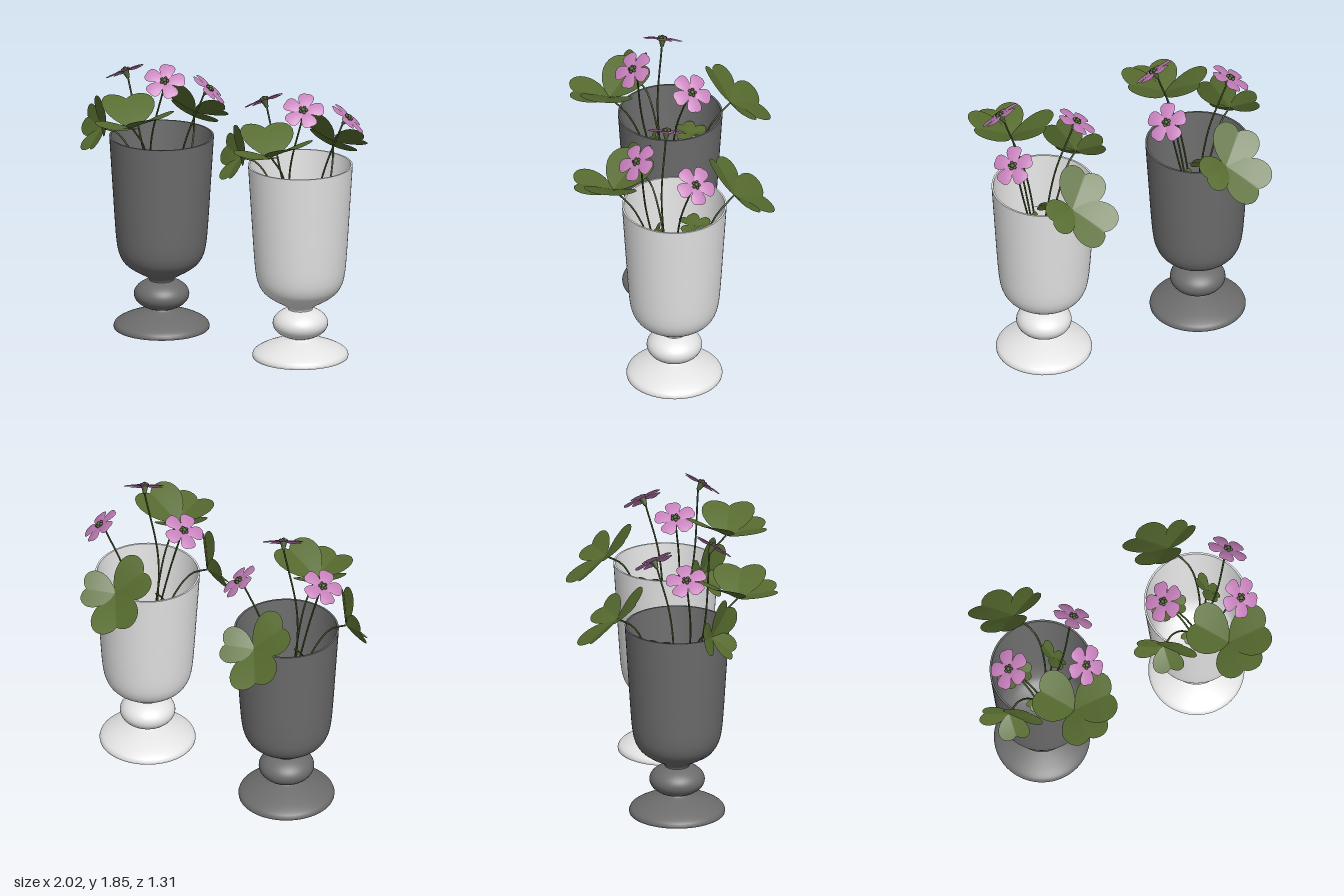
import * as THREE from 'three';

const V = (a) => new THREE.Vector3(...a);
const mat = (name, color, side = THREE.FrontSide) => {
  const m = new THREE.MeshStandardMaterial({ color, side });
  m.name = name;
  return m;
};
const darkVase = mat('dark grey', 0x6c6c6c);
const lightVase = mat('off white', 0xe4e4e4);
const leafGreen = mat('leaf green', 0x566b2f, THREE.DoubleSide);
const stemGreen = mat('stem green', 0x43562a);
const petalPink = mat('petal pink', 0xc57fba, THREE.DoubleSide);

function mesh(name, geometry, material, parent) {
  const m = new THREE.Mesh(geometry, material);
  m.name = name;
  parent.add(m);
  return m;
}

// Thin blade growing along +y from the origin. Half outline = [degrees, radius], mirrored.
function bladeGeometry(half, height, rings = 6) {
  const curve = new THREE.SplineCurve(half.map(([d, r]) => new THREE.Vector2(d, r)));
  const right = curve.getPoints(14);
  const edge = [...right.slice(1).reverse().map((p) => [-p.x, p.y]), ...right.map((p) => [p.x, p.y])];
  const pos = [];
  const index = [];
  const n = edge.length;
  for (let i = 0; i <= rings; i++) {
    for (const [deg, r] of edge) {
      const a = THREE.MathUtils.degToRad(deg);
      const x = Math.sin(a) * r * (i / rings);
      const y = Math.cos(a) * r * (i / rings);
      pos.push(x, y, height(x, y));
    }
  }
  for (let i = 0; i < rings; i++) {
    for (let j = 0; j < n - 1; j++) {
      const a = i * n + j, b = a + n;
      if (i > 0) index.push(a, a + 1, b + 1);
      index.push(a, b + 1, b);
    }
  }
  const g = new THREE.BufferGeometry();
  g.setAttribute('position', new THREE.Float32BufferAttribute(pos, 3));
  g.setIndex(index);
  g.computeVertexNormals();
  return g;
}

// Heart-shaped leaflet, gently folded along its midrib
const leafletGeo = bladeGeometry(
  [[0, 0.84], [7, 0.93], [20, 1.0], [33, 0.94], [45, 0.76], [57, 0.47], [70, 0.12]],
  (x, y) => 0.16 * Math.abs(x) - 0.1 * y * y + 0.06 * y
);
// Rounded petal, dished upwards then curling back at the tip
const petalGeo = bladeGeometry(
  [[0, 0.98], [10, 1.0], [20, 0.95], [27, 0.83], [33, 0.6], [38, 0.3]],
  (x, y) => 0.28 * y - 0.26 * y * y - 0.3 * x * x
);

// Blade whose +y follows dir and whose +z leans to the normal hint
function orient(obj, dir, hint) {
  const y = dir.clone().normalize();
  const z = hint.clone().addScaledVector(y, -hint.dot(y)).normalize();
  const x = new THREE.Vector3().crossVectors(y, z);
  obj.quaternion.setFromRotationMatrix(new THREE.Matrix4().makeBasis(x, y, z));
}

function stem(points, radius, parent) {
  const curve = new THREE.CatmullRomCurve3(points.map(V));
  mesh('stem', new THREE.TubeGeometry(curve, 24, radius, 7), stemGreen, parent);
}

// Three leaflets, given as offsets from the joint to each tip
function clover(name, centre, tips, hint, stemPoints, parent) {
  const g = new THREE.Group();
  g.name = name;
  parent.add(g);
  for (const tip of tips) {
    const dir = V(tip);
    const leaf = mesh('leaflet', leafletGeo, leafGreen, g);
    leaf.position.set(...centre);
    leaf.scale.setScalar(dir.length() / 0.93);
    orient(leaf, dir, V(hint));
  }
  stem([...stemPoints, centre], 0.006, g);
}

function flower(centre, normal, spin, stemPoints, parent) {
  const g = new THREE.Group();
  g.name = 'flower';
  g.position.set(...centre);
  const n = V(normal).normalize();
  g.quaternion.setFromUnitVectors(new THREE.Vector3(0, 0, 1), n);
  parent.add(g);
  for (let i = 0; i < 5; i++) {
    const a = spin + (i * Math.PI * 2) / 5;
    const petal = mesh('petal', petalGeo, petalPink, g);
    petal.scale.setScalar(0.135);
    petal.rotation.z = a;
    // Ring of small stamens
    const bud = mesh('stamen', new THREE.SphereGeometry(0.011, 10, 8), stemGreen, g);
    bud.position.set(0.02 * Math.sin(a), 0.02 * Math.cos(a), 0.014);
  }
  mesh('pistil', new THREE.SphereGeometry(0.016, 12, 8), stemGreen, g).position.z = 0.016;
  // Green cup beneath the petals
  const calyx = mesh('calyx', new THREE.CylinderGeometry(0.024, 0.01, 0.05, 12), stemGreen, g);
  calyx.rotation.x = Math.PI / 2;
  calyx.position.z = -0.022;
  const foot = V(centre).addScaledVector(n, -0.045);
  stem([...stemPoints, foot.toArray()], 0.006, parent);
}

function lathe(name, points, material, parent, steps = 0) {
  let pts = points.map(([r, y]) => new THREE.Vector2(r, y));
  if (steps) pts = new THREE.SplineCurve(pts).getPoints(steps);
  return mesh(name, new THREE.LatheGeometry(pts, 64), material, parent);
}

function vase(material) {
  const g = new THREE.Group();
  g.name = 'vase';
  const under = mesh('footUnderside', new THREE.CircleGeometry(0.31, 64), material, g);
  under.rotation.x = Math.PI / 2;
  lathe('footRim', [[0.31, 0], [0.312, 0.012]], material, g);
  lathe('foot', [[0.312, 0.012], [0.3, 0.035], [0.255, 0.062], [0.19, 0.088], [0.13, 0.107], [0.085, 0.122], [0.07, 0.14]], material, g, 24);
  const knob = mesh('stemKnob', new THREE.SphereGeometry(0.18, 48, 24), material, g);
  knob.scale.y = 0.105 / 0.18;
  knob.position.y = 0.227;
  lathe('cupOutside', [[0.08, 0.3], [0.083, 0.332], [0.12, 0.36], [0.185, 0.398], [0.24, 0.442], [0.272, 0.495], [0.29, 0.57],
    [0.302, 0.7], [0.318, 0.95], [0.33, 1.14], [0.34, 1.3]], material, g, 60);
  lathe('cupLip', [[0.34, 1.3], [0.328, 1.3]], material, g);
  lathe('cupInside', [[0.328, 1.3], [0.318, 1.14], [0.306, 0.95], [0.29, 0.7], [0.278, 0.57], [0.255, 0.5], [0.21, 0.45],
    [0.12, 0.415], [0, 0.405]], material, g, 50);
  g.position.set(-0.497, 0, -0.015);
  return g;
}

function plant() {
  const g = new THREE.Group();
  g.name = 'plant';
  const root = [-0.49, 0.41, -0.01];

  // Three flowers
  flower([-0.75, 1.7, 0.03], [-0.48, 0.87, -0.1], 0.3, [root, [-0.53, 0.9, 0.04], [-0.61, 1.3, 0.065]], g);
  flower([-0.3, 1.76, 0.23], [0.36, 0.76, 0.52], 0.1, [root, [-0.49, 0.9, 0.09], [-0.45, 1.3, 0.17]], g);
  flower([-0.215, 1.63, -0.145], [0.55, 0.75, -0.36], 0.5, [root, [-0.42, 0.9, -0.02], [-0.325, 1.3, -0.05]], g);

  // Large leaves: back, left, front
  clover('backLeaf', [-0.515, 1.36, -0.405],
    [[-0.16, -0.11, -0.21], [0.19, 0.02, -0.09], [-0.16, 0.18, 0.12]],
    [0, 0.7, -0.65], [root, [-0.41, 0.95, -0.16], [-0.43, 1.25, -0.28]], g);
  clover('leftLeaf', [-0.826, 1.34, 0.19],
    [[-0.17, 0.04, -0.06], [0.1, 0.18, 0.12], [-0.01, -0.11, 0.14]],
    [-0.4, 0.25, 0.9], [root, [-0.58, 0.95, 0.04], [-0.74, 1.305, 0.13]], g);
  clover('frontLeaf', [-0.45, 1.455, 0.38],
    [[-0.18, 0.15, -0.18], [0, 0.06, 0.255], [0.26, 0.13, 0.04]],
    [0, 1, 0], [root, [-0.47, 0.9, 0.1], [-0.45, 1.3, 0.25]], g);

  // Small leaves inside the cup
  clover('smallLeaf', [-0.632, 1.05, -0.155],
    [[-0.02, 0.01, -0.1], [-0.1, 0.01, 0.06], [0.1, 0.01, 0.05]],
    [0, 1, 0], [root, [-0.54, 0.75, -0.06]], g);
  clover('smallLeaf', [-0.365, 1.08, -0.13],
    [[-0.03, 0.06, -0.09], [0.07, -0.06, 0.02], [-0.02, 0.04, 0.09]],
    [0.6, 0.75, 0], [root, [-0.44, 0.75, -0.05]], g);
  clover('smallLeaf', [-0.565, 1.05, 0.085],
    [[-0.08, -0.02, 0.02], [0.07, 0.03, -0.01], [0, -0.07, 0.05]],
    [-0.2, 0.6, 0.8], [root, [-0.52, 0.75, 0.04]], g);
  return g;
}

export function createModel() {
  const model = new THREE.Group();
  model.name = 'pottedFlowers';
  [darkVase, lightVase].forEach((material, i) => {
    const set = new THREE.Group();
    set.name = i ? 'lightVaseWithFlowers' : 'darkVaseWithFlowers';
    set.add(vase(material), plant());
    set.position.x = i * 1.104;
    model.add(set);
  });
  return model;
}
